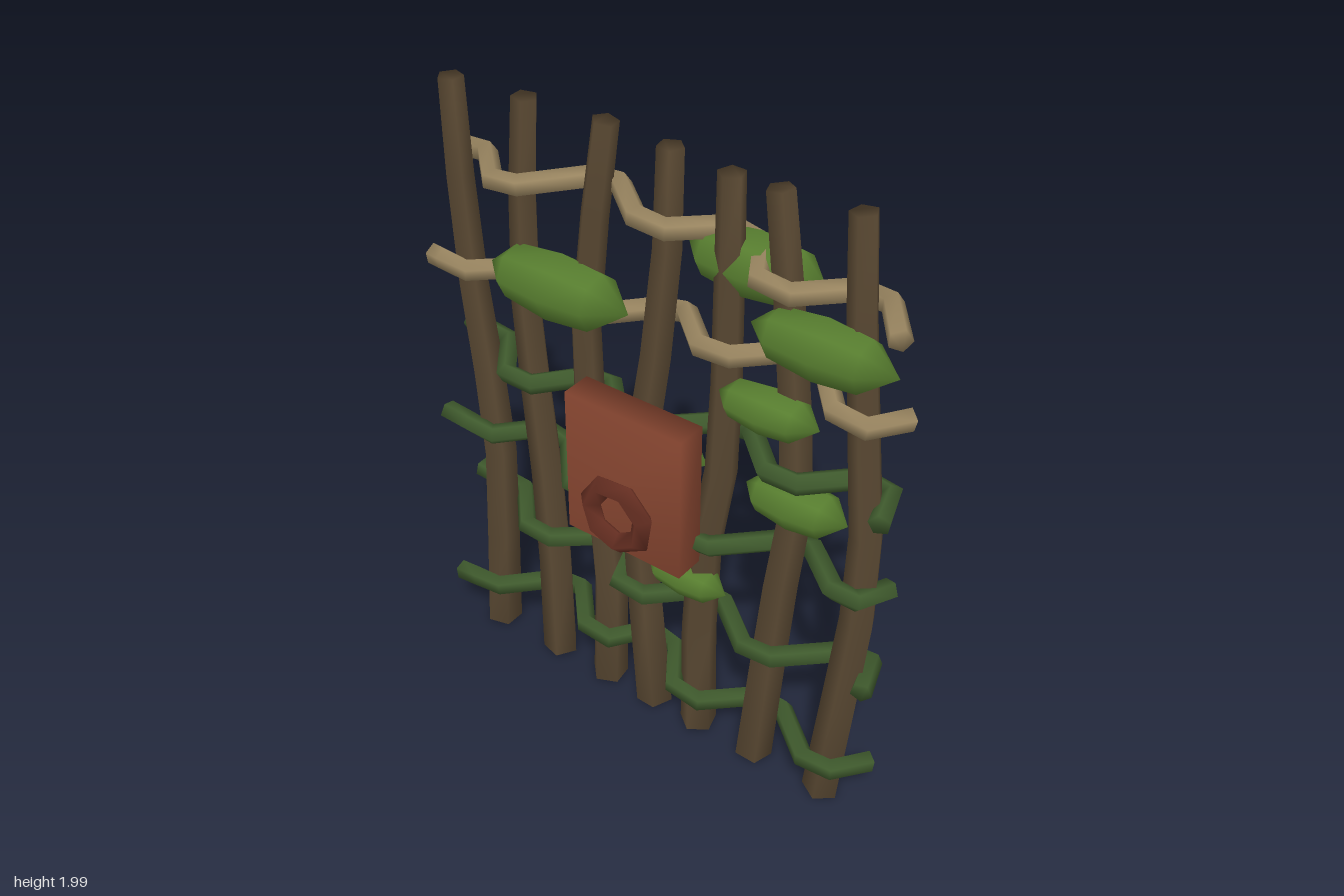
import * as THREE from 'three';
import { mergeVertices } from 'three/addons/utils/BufferGeometryUtils.js';

const mat = (name, color) => {
  const m = new THREE.MeshStandardMaterial({ color });
  m.name = name;
  return m;
};

// Piecewise linear lookup in a list of [key, value] pairs
function lookup(table, k) {
  for (let i = 1; i < table.length; i++) {
    const [a, va] = table[i - 1], [b, vb] = table[i];
    if (k <= b || i === table.length - 1) {
      return THREE.MathUtils.lerp(va, vb, THREE.MathUtils.clamp((k - a) / (b - a), 0, 1));
    }
  }
}

// Capped stick swept along points, ring planes follow the path
function stick(points, radiusAt, sides, ref, twist = 0) {
  const pos = [], idx = [], n = points.length;
  points.forEach((p, i) => {
    const t = points[Math.min(i + 1, n - 1)].clone().sub(points[Math.max(i - 1, 0)]).normalize();
    const u = new THREE.Vector3().crossVectors(ref, t).normalize();
    const v = new THREE.Vector3().crossVectors(t, u);
    const r = radiusAt(i / (n - 1));
    for (let j = 0; j < sides; j++) {
      const a = twist + (j / sides) * Math.PI * 2;
      const q = p.clone().addScaledVector(u, r * Math.cos(a)).addScaledVector(v, r * Math.sin(a));
      pos.push(q.x, q.y, q.z);
    }
  });
  for (let i = 0; i < n - 1; i++) {
    for (let j = 0; j < sides; j++) {
      const k = (j + 1) % sides, a = i * sides, b = a + sides;
      idx.push(a + j, a + k, b + k, a + j, b + k, b + j);
    }
  }
  const last = (n - 1) * sides;
  for (let j = 1; j < sides - 1; j++) {
    idx.push(0, j + 1, j, last, last + j, last + j + 1);
  }
  const g = new THREE.BufferGeometry();
  g.setAttribute('position', new THREE.Float32BufferAttribute(pos, 3));
  g.setIndex(idx);
  g.computeVertexNormals();
  return g;
}

// Weld corners so the shading runs smoothly over the edges
function welded(geo) {
  geo.deleteAttribute('normal');
  geo.deleteAttribute('uv');
  const g = mergeVertices(geo);
  g.computeVertexNormals();
  return g;
}

export function createModel() {
  const group = new THREE.Group();
  const bark = mat('bark', 0x594832);
  const straw = mat('dry vine', 0x998560);
  const vine = mat('green vine', 0x3f5a2d);
  const leafGreen = mat('leaf green', 0x577d2f);
  const clay = mat('clay red', 0x8b4832);
  const rust = mat('dark rust', 0x672f22);

  const add = (name, geo, material, x = 0, y = 0, z = 0) => {
    const m = new THREE.Mesh(geo, material);
    m.name = name;
    m.position.set(x, y, z);
    group.add(m);
    return m;
  };

  // Upright stakes: x at each height, and z of the top
  const heights = [0.015, 0.4, 0.75, 1.05, 1.35, 1.7, 1.995];
  const stakes = [
    { x: [-0.67, -0.65, -0.635, -0.66, -0.695, -0.715, -0.72], z: -0.03 },
    { x: [-0.41, -0.415, -0.435, -0.465, -0.49, -0.485, -0.465], z: -0.05 },
    { x: [-0.2, -0.19, -0.22, -0.265, -0.275, -0.24, -0.2], z: -0.065 },
    { x: [-0.01, -0.045, -0.075, -0.06, -0.015, 0.02, 0.025], z: -0.05 },
    { x: [0.165, 0.16, 0.175, 0.225, 0.235, 0.235, 0.235], z: -0.02 },
    { x: [0.38, 0.41, 0.44, 0.475, 0.455, 0.415, 0.375], z: -0.025 },
    { x: [0.635, 0.67, 0.7, 0.7, 0.665, 0.625, 0.6], z: -0.045 },
  ];
  const zAxis = new THREE.Vector3(0, 0, 1), yAxis = new THREE.Vector3(0, 1, 0);
  stakes.forEach((s, i) => {
    const pts = heights.map((h, k) =>
      new THREE.Vector3(s.x[k], h, THREE.MathUtils.lerp(-0.036, s.z, (h / 2) ** 2)));
    add('stake', stick(pts, (t) => 0.06 - 0.021 * t, 5, zAxis, i * 0.7), bark);
  });

  // Woven strands: height along x, passing alternately before and behind the stakes
  const strands = [
    [[-0.79, 0.2], [-0.35, 0.25], [-0.2, 0.255], [0, 0.21], [0.2, 0.18], [0.5, 0.17], [0.7, 0.19], [0.78, 0.17]],
    [[-0.79, 0.56], [-0.4, 0.55], [-0.1, 0.51], [0.2, 0.49], [0.5, 0.52], [0.78, 0.55]],
    [[-0.79, 0.87], [-0.5, 0.85], [-0.3, 0.81], [0, 0.8], [0.3, 0.83], [0.7, 0.89], [0.78, 0.86]],
    [[-0.79, 1.14], [-0.5, 1.12], [-0.3, 1.12], [0, 1.15], [0.3, 1.18], [0.6, 1.185], [0.78, 1.16]],
    [[-0.79, 1.44], [-0.45, 1.41], [-0.1, 1.45], [0.1, 1.49], [0.3, 1.5], [0.55, 1.47], [0.78, 1.44]],
    [[-0.79, 1.74], [-0.5, 1.76], [-0.3, 1.79], [-0.05, 1.81], [0.2, 1.79], [0.4, 1.75], [0.78, 1.73]],
  ];
  strands.forEach((row, r) => {
    const point = (x, z) => new THREE.Vector3(x, lookup(row, x), z);
    const zAt = (i) => ((i + r) % 2 === 0 ? 0.03 : -0.105);
    const pts = [point(-0.79, zAt(0))];
    stakes.forEach((s, i) => {
      const y = row[Math.round((i / 6) * (row.length - 1))][1];
      const x = lookup(heights.map((h, k) => [h, s.x[k]]), y);
      pts.push(point(x - 0.05, zAt(i)), point(Math.min(x + 0.045, 0.725), zAt(i)));
    });
    // The right end hooks round the last stake
    pts.push(point(0.765, zAt(7) * 0.8));
    add('wovenStrand', stick(pts, () => 0.033, 5, yAxis, r), r < 4 ? vine : straw);
  });

  // Leaf clumps: blunt low-poly pods lying along x; centre, then half sizes
  const profile = [[0, -1], [0.82, -0.64], [1, 0], [0.86, 0.58], [0, 1]];
  const pod = new THREE.LatheGeometry(profile.map(([r, h]) => new THREE.Vector2(r, h)), 7);
  pod.rotateZ(-Math.PI / 2);
  const podGeo = welded(pod);
  const leaves = [
    [-0.325, 1.478, 0.005, 0.25, 0.1, 0.1],
    [0.28, 1.725, -0.08, 0.215, 0.09, 0.1],
    [0.55, 1.615, 0.012, 0.22, 0.088, 0.083],
    [0.4, 1.368, 0.015, 0.16, 0.066, 0.075],
    [0.49, 1.08, -0.01, 0.165, 0.073, 0.08],
    [0.135, 0.635, 0.0, 0.142, 0.057, 0.06],
    [-0.1, 1.02, -0.07, 0.25, 0.09, 0.095],
  ];
  leaves.forEach(([x, y, z, a, b, c]) =>
    add('leafClump', podGeo, leafGreen, x, y, z).scale.set(a, b, c));

  // Plaque with a ring on its lower half
  add('plaque', welded(new THREE.BoxGeometry(0.41, 0.485, 0.1)), clay, -0.01, 0.987, 0.073);
  const ring = add('ring', new THREE.TorusGeometry(0.098, 0.036, 4, 7), rust, -0.015, 0.89, 0.145);
  ring.rotation.z = 0.3;

  return group;
}
